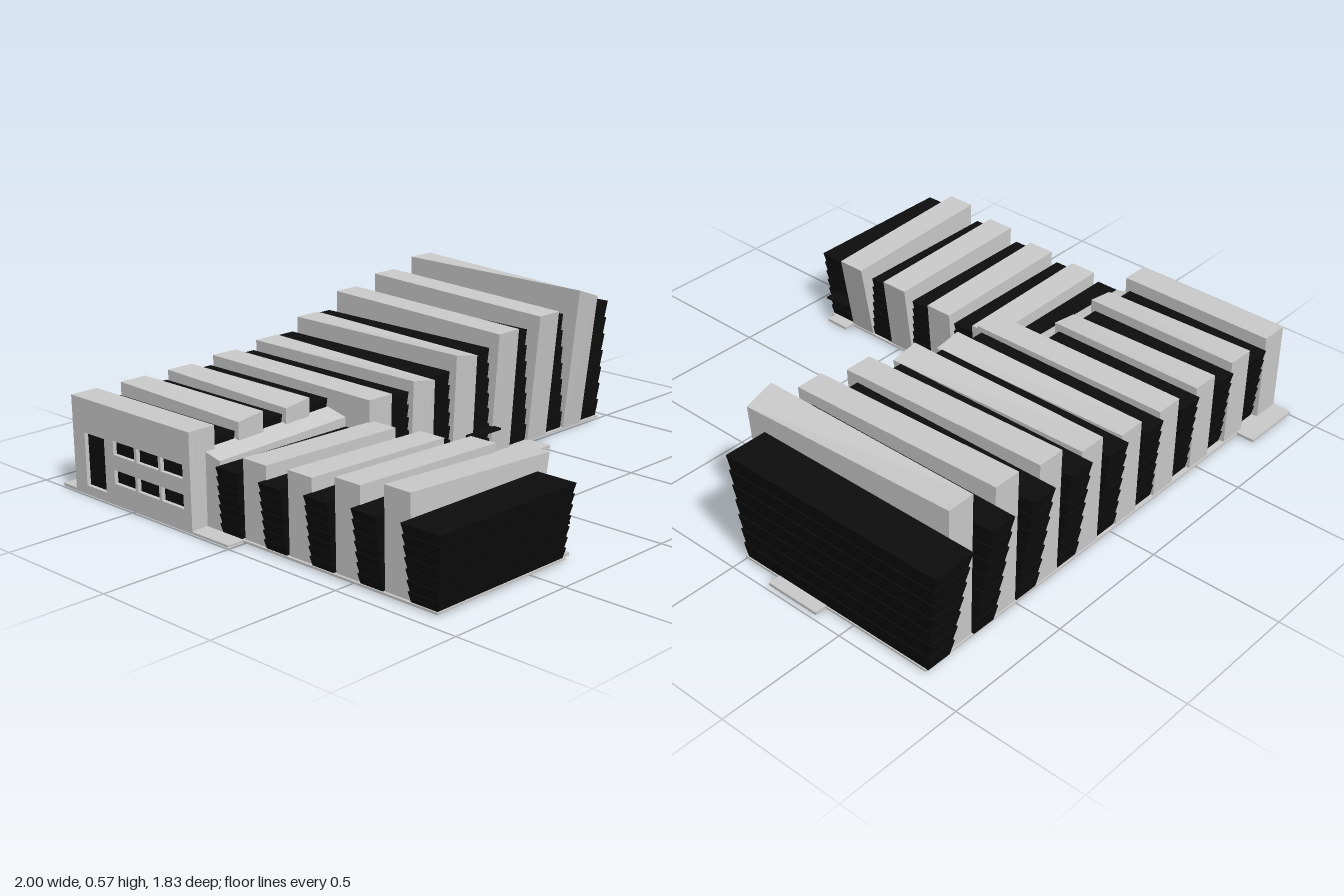
import * as THREE from 'three';

const grey = new THREE.MeshStandardMaterial({ color: 0xcccccc, flatShading: true });
const black = new THREE.MeshStandardMaterial({ color: 0x0d0d0d, flatShading: true });
const FLOOR = 0.012;

// Six-sided solid. Corners run back-left, back-right, front-right, front-left;
// flip turns the crease of the top the other way.
function block(name, mat, bottom, top, flip = false) {
  const p = [...bottom, ...top];
  const quads = [[0, 1, 2, 3], [3, 2, 6, 7], [1, 0, 4, 5], [2, 1, 5, 6], [0, 3, 7, 4],
    flip ? [7, 6, 5, 4] : [4, 7, 6, 5]];
  const pos = [];
  for (const [a, b, c, d] of quads) for (const i of [a, b, c, a, c, d]) pos.push(...p[i]);
  const geo = new THREE.BufferGeometry();
  geo.setAttribute('position', new THREE.Float32BufferAttribute(pos, 3));
  geo.computeVertexNormals();
  const mesh = new THREE.Mesh(geo, mat);
  mesh.name = name;
  return mesh;
}

// Dark volume built from stacked boards, each leaning out a little at its top
function clad(name, bottom, top, rows = 7) {
  const group = new THREE.Group();
  group.name = name;
  const mid = (k) => bottom.map((b, i) => b.map((v, j) => v + (top[i][j] - v) * k));
  const shrink = (pts, d) => pts.map(([x, y, z], i) => [
    x + (i === 0 || i === 3 ? d : -d), y, z + (i < 2 ? d : -d)]);
  for (let r = 0; r < rows; r++) {
    group.add(block('board', black, shrink(mid(r / rows), 0.005), mid((r + 1) / rows)));
  }
  return group;
}

const ring = (x0, x1, z0, z1, y) => [[x0, y, z0], [x1, y, z0], [x1, y, z1], [x0, y, z1]];

function box(name, mat, x0, x1, y0, y1, z0, z1) {
  return block(name, mat, ring(x0, x1, z0, z1, y0), ring(x0, x1, z0, z1, y1));
}

function mainWing() {
  const wing = new THREE.Group();
  wing.name = 'mainWing';
  // pale ribs: left x, front height, back height, front top z, raised front corner
  const ribs = [
    [-1, 0.36, 0.36, -0.18, ''], [-0.785, 0.345, 0.36, -0.18, 'R'], [-0.57, 0.345, 0.36, -0.18, 'R'],
    [-0.355, 0.365, 0.372, 0.01, ''], [-0.14, 0.37, 0.388, 0.015, 'L'], [0.075, 0.42, 0.44, 0.025, 'L'],
    [0.29, 0.48, 0.505, 0.04, ''], [0.505, 0.51, 0.54, 0.055, ''], [0.72, 0.535, 0.575, 0.07, 'L'],
  ];
  ribs.forEach(([x, hf, hb, zf, up], i) => {
    const x0 = i === 0 ? x + 0.02 : x, x1 = x + 0.11;
    const top = [[x0, hb, -0.815], [x1, hb, -0.815],
      [x1, up === 'R' ? hb : hf, zf], [x0, up === 'L' ? hb : hf, zf]];
    wing.add(block('paleRib', grey, ring(x0, x1, -0.815, i < 3 ? -0.185 : 0, FLOOR), top, up === 'R'));
  });
  // dark bays: height, back top z
  const bays = [[0.31, -0.82], [0.32, -0.825], [0.33, -0.83], [0.345, -0.832], [0.375, -0.845],
    [0.42, -0.86], [0.45, -0.88], [0.47, -0.895], [0.472, -0.915]];
  bays.forEach(([h, zb], i) => {
    const x0 = -0.89 + 0.215 * i, last = i === 8;
    const x1 = last ? 0.94 : x0 + 0.105, xt = last ? 1 : x1;
    const front = i < 3 ? -0.195 : -0.005;
    wing.add(clad('darkBay', ring(x0, x1, -0.795 - i * 0.0045, front, FLOOR),
      ring(x0, xt, zb, front - 0.005, h)));
  });
  return wing;
}

function sideWing() {
  const wing = new THREE.Group();
  wing.name = 'sideWing';
  // pale ribs: back z, height at outer side, height at court side, court top x
  const ribs = [[0, 0.295, 0.283, -0.33], [0.213, 0.305, 0.29, -0.315],
    [0.427, 0.332, 0.315, -0.297], [0.64, 0.36, 0.33, -0.28]];
  for (const [z, hl, hr, xr] of ribs) {
    const z1 = z + 0.11;
    wing.add(block('paleRib', grey, ring(-0.925, -0.34, z, z1, FLOOR),
      [[-0.925, hl, z], [xr, hr, z], [xr, hr, z1], [-0.925, hl, z1]]));
  }
  // dark bays: height, outer top x
  const bays = [[0.245, -0.95], [0.245, -0.957], [0.255, -0.96], [0.268, -0.965], [0.278, -0.97]];
  bays.forEach(([h, xl], i) => {
    const z0 = -0.11 + i * 0.215, last = i === 4;
    const z1 = last ? 0.868 : z0 + 0.105, zt = last ? 0.91 : z1;
    wing.add(clad('darkBay', ring(-0.935, -0.34, z0, z1, FLOOR), ring(xl, -0.34, z0, zt, h)));
  });
  // creased link between the wings
  wing.add(block('linkRoof', grey, ring(-0.93, -0.35, -0.2, -0.11, FLOOR),
    [[-0.93, 0.28, -0.2], [-0.35, 0.3, -0.2], [-0.35, 0.28, -0.11], [-0.93, 0.26, -0.11]], true));
  return wing;
}

// End wall with a door and two rows of windows cut through it
function endWall() {
  const group = new THREE.Group();
  group.name = 'endWall';
  const rect = (Type, u0, u1, v0, v1) => {
    const s = new Type();
    s.moveTo(u0, v0); s.lineTo(u1, v0); s.lineTo(u1, v1); s.lineTo(u0, v1); s.closePath();
    return s;
  };
  const wall = rect(THREE.Shape, -0.815, -0.18, FLOOR, 0.36);
  wall.holes.push(rect(THREE.Path, -0.75, -0.64, 0.04, 0.235));
  for (const v of [0.085, 0.19]) {
    for (let i = 0; i < 3; i++) {
      const u = -0.59 + i * 0.128;
      wall.holes.push(rect(THREE.Path, u, u + 0.115, v, v + 0.05));
    }
  }
  const geo = new THREE.ExtrudeGeometry(wall, { depth: 0.02, bevelEnabled: false });
  geo.rotateY(-Math.PI / 2);
  const mesh = new THREE.Mesh(geo, grey);
  mesh.name = 'piercedWall';
  mesh.position.x = -0.98;
  group.add(mesh);
  group.add(box('doorPane', black, -0.985, -0.978, 0.04, 0.235, -0.75, -0.64));
  for (const v of [0.085, 0.19]) {
    group.add(box('windowPane', black, -0.985, -0.978, v, v + 0.05, -0.59, -0.22));
  }
  return group;
}

export function createModel() {
  const model = new THREE.Group();
  model.name = 'building';
  model.add(mainWing(), sideWing(), endWall());

  // floor slabs and doorstep plates
  model.add(box('mainFloor', grey, -1, 0.94, 0.006, FLOOR + 0.002, -0.82, 0));
  model.add(box('sideFloor', grey, -0.935, -0.335, 0.006, FLOOR + 0.002, 0, 0.868));
  model.add(box('backStep', grey, -1, -0.755, 0.005, 0.016, -0.89, -0.8));
  model.add(box('entranceStep', grey, 0.075, 0.52, 0, 0.012, -0.02, 0.1));
  model.add(box('smallStep', grey, -0.03, 0.08, 0, 0.012, -0.02, 0.05));
  model.add(box('endStep', grey, 0.9, 0.985, 0.005, 0.016, -0.38, -0.16));
  model.add(box('courtStep', grey, -0.36, -0.295, 0.005, 0.016, 0.75, 0.85));

  // canopies over the doors
  model.add(box('entranceCanopy', black, 0.145, 0.3, 0.112, 0.12, -0.03, 0.042));
  model.add(box('courtCanopy', black, -0.36, -0.293, 0.112, 0.12, 0.75, 0.85));
  return model;
}
